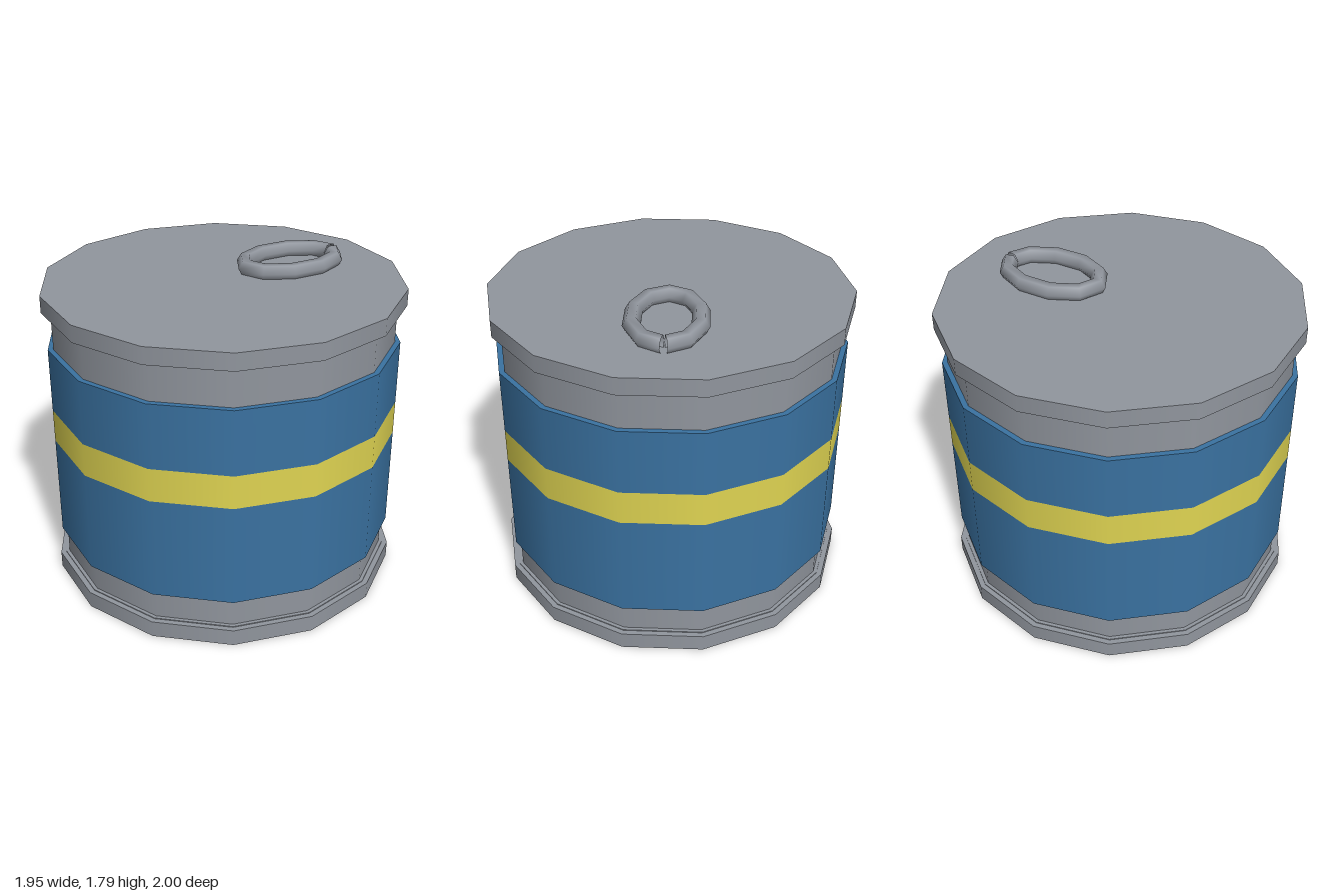
import * as THREE from 'three';
import { mergeGeometries } from 'three/addons/utils/BufferGeometryUtils.js';

const SIDES = 14;

// Turned part: smooth around the axis, sharp at every profile corner
function turned(profile) {
  const strips = [];
  for (let i = 0; i < profile.length - 1; i++) {
    const pts = [profile[i], profile[i + 1]].map(([r, y]) => new THREE.Vector2(r, y));
    strips.push(new THREE.LatheGeometry(pts, SIDES));
  }
  return mergeGeometries(strips);
}

// Oval ring with a six-sided section, slightly split at its +x end
function ovalRing(a, b, r) {
  const around = 10, section = 6;
  const geo = new THREE.TorusGeometry(1, 0.2, section, around);
  const pos = geo.attributes.position, nor = geo.attributes.normal;
  for (let j = 0; j <= section; j++) {
    for (let i = 0; i <= around; i++) {
      const k = j * (around + 1) + i;
      const u = (i / around) * Math.PI * 2, v = (j / section) * Math.PI * 2;
      const n = new THREE.Vector2(Math.cos(u) / a, Math.sin(u) / b).normalize();
      const c = Math.cos(v), s = Math.sin(v);
      const split = i === 0 ? 1 : i === around ? -1 : 0;
      pos.setXYZ(k, a * Math.cos(u) + n.x * r * c,
        b * Math.sin(u) + n.y * r * c + split * 0.01 * (1 + c), r * s);
      nor.setXYZ(k, n.x * c, n.y * c, s);
    }
  }
  return geo.rotateX(-Math.PI / 2);
}

export function createModel() {
  const metal = new THREE.MeshStandardMaterial({ color: 0x91969e, side: THREE.DoubleSide });
  metal.name = 'grey metal';
  const blue = new THREE.MeshStandardMaterial({ color: 0x3a72a1 });
  blue.name = 'blue label';
  const yellow = new THREE.MeshStandardMaterial({ color: 0xe0d552 });
  yellow.name = 'yellow stripe';

  const model = new THREE.Group();
  model.name = 'can';
  const add = (name, geo, mat) => {
    const mesh = new THREE.Mesh(geo, mat);
    mesh.name = name;
    model.add(mesh);
    return mesh;
  };

  // Metal can: recessed base, rims and flat lid
  add('bottomRim', turned([[0, 0.1], [0.97, 0.1], [0.97, 0], [1, 0], [1, 0.095], [0.95, 0.095]]), metal);
  add('body', turned([[0.95, 0.095], [0.95, 1.62]]), metal);
  add('lid', turned([[0.95, 1.62], [1, 1.62], [1, 1.715], [0, 1.715]]), metal);

  // Wrapped label with a stripe
  add('lowerLabel', turned([[0.95, 0.265], [0.98, 0.265], [0.98, 0.85]]), blue);
  add('labelStripe', turned([[0.98, 0.85], [0.98, 1.04]]), yellow);
  add('upperLabel', turned([[0.98, 1.04], [0.98, 1.405], [0.95, 1.405]]), blue);

  // Pull ring lying on the lid
  add('pullRing', ovalRing(0.28, 0.182, 0.048), metal).position.set(0.425, 1.747, 0);

  return model;
}
